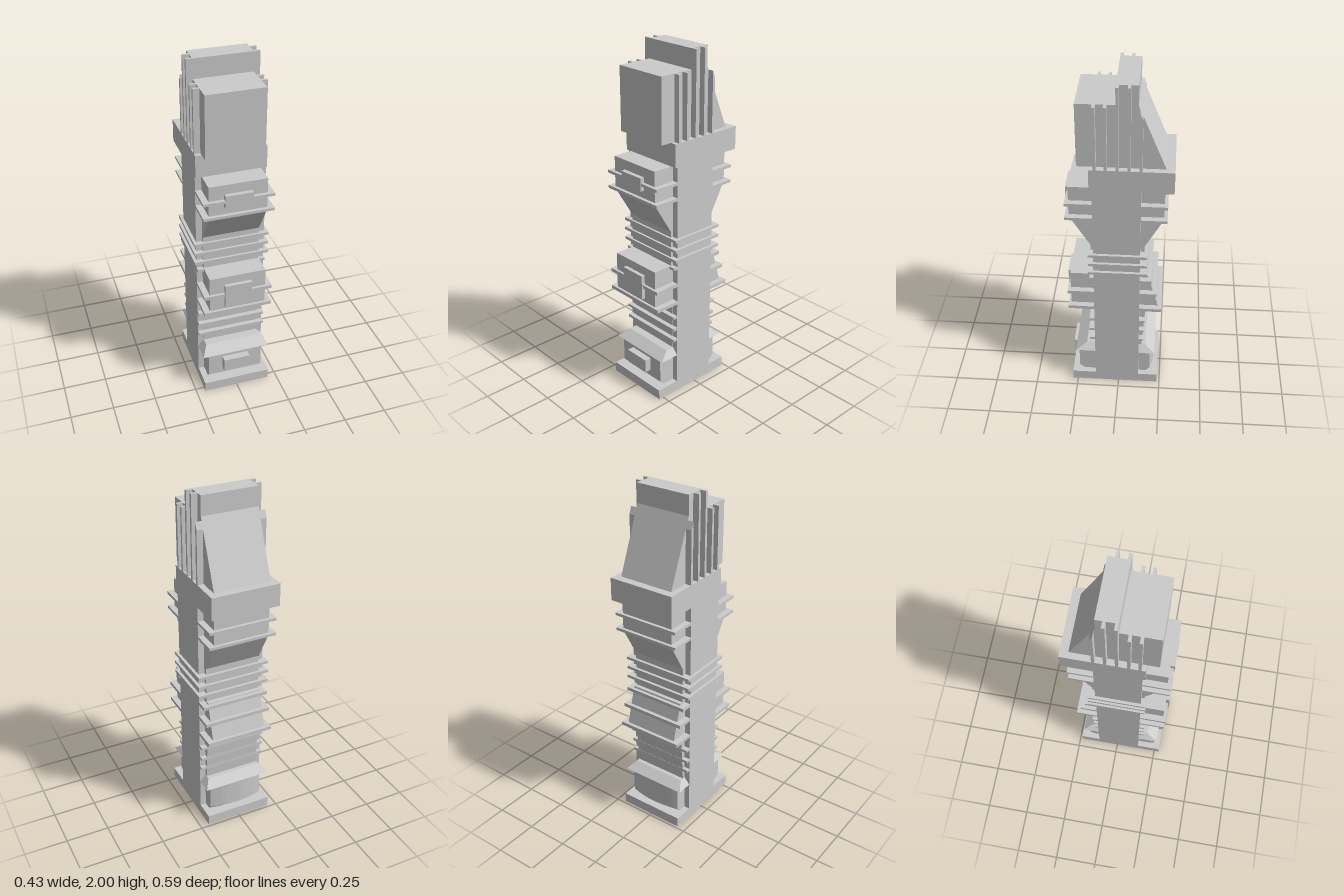
import * as THREE from 'three';

const material = new THREE.MeshStandardMaterial({ color: 0xcccccc, flatShading: true });

export function createModel() {
  const tower = new THREE.Group();
  tower.name = 'tower';

  const add = (name, geometry) => {
    const mesh = new THREE.Mesh(geometry, material);
    mesh.name = name;
    tower.add(mesh);
    return mesh;
  };

  // Box given by half width and its y and z ranges
  const block = (name, w, y0, y1, z0, z1, x = 0) => {
    const g = new THREE.BoxGeometry(2 * w, y1 - y0, z1 - z0);
    g.translate(x, (y0 + y1) / 2, (z0 + z1) / 2);
    return add(name, g);
  };

  // Side profile of [z, y] points extruded across the width
  const slab = (name, w, points) => {
    const shape = new THREE.Shape(points.map(([z, y]) => new THREE.Vector2(z, y)));
    const g = new THREE.ExtrudeGeometry(shape, { depth: 2 * w, bevelEnabled: false });
    g.translate(0, 0, -w);
    g.rotateY(-Math.PI / 2);
    return add(name, g);
  };

  // Solid through stacked plan outlines: { y, ring: [[x, z], ...] }
  const loft = (name, levels) => {
    const n = levels[0].ring.length;
    const top = (levels.length - 1) * n;
    const position = levels.flatMap(({ y, ring }) => ring.flatMap(([x, z]) => [x, y, z]));
    const index = [];
    for (let k = 0; k < top; k += n) {
      for (let i = 0; i < n; i++) {
        const a = k + i, b = k + (i + 1) % n;
        index.push(a, b, b + n, a, b + n, a + n);
      }
    }
    for (let i = 1; i < n - 1; i++) {
      index.push(0, i + 1, i, top, top + i, top + i + 1);
    }
    const g = new THREE.BufferGeometry();
    g.setAttribute('position', new THREE.Float32BufferAttribute(position, 3));
    g.setIndex(index);
    const flat = g.toNonIndexed();
    flat.computeVertexNormals();
    return add(name, flat);
  };
  const rect = (w, z0, z1) => [[w, z1], [w, z0], [-w, z0], [-w, z1]];
  const bow = (w, edge, bulge) => {
    const ring = [[w, -0.1]];
    for (let i = 0; i <= 10; i++) {
      const t = 1 - i / 5;
      ring.push([w * t, edge - bulge * (1 - t * t)]);
    }
    return [...ring, [-w, -0.1]];
  };

  const W = 0.198; // pillar half width
  const B = 0.163; // bay half width

  // Base and main pillar
  block('base', W, 0, 0.06, -0.235, 0.28);
  block('pillar', W, 0.06, 1.4, -0.12, 0.14);
  slab('lowerBackPanel', B, [[-0.1, 0.26], [-0.1, 0.57], [-0.155, 0.57], [-0.135, 0.26]]);
  block('lowerFrontPanel', B, 0.26, 0.57, 0.1, 0.143);
  block('middlePanel', B, 0.8, 1.03, -0.143, 0.155);

  // Ground floor bays with their sloped roofs
  loft('entranceBay', [
    { y: 0.06, ring: rect(B, 0.1, 0.21) },
    { y: 0.085, ring: rect(B, 0.1, 0.24) },
    { y: 0.24, ring: rect(B, 0.1, 0.24) },
  ]);
  block('entrancePlate', 0.078, 0.125, 0.207, 0.23, 0.28);
  loft('bowedBackBay', [
    { y: 0.06, ring: bow(B, -0.165, 0.02) },
    { y: 0.085, ring: bow(B, -0.188, 0.025) },
    { y: 0.24, ring: bow(B, -0.188, 0.025) },
  ]);
  loft('frontRoof', [
    { y: 0.24, ring: rect(W, 0.13, 0.257) },
    { y: 0.28, ring: rect(B, 0.13, 0.192) },
  ]);
  loft('backRoof', [
    { y: 0.24, ring: rect(W, -0.215, -0.11) },
    { y: 0.28, ring: rect(B, -0.16, -0.11) },
  ]);

  // Thin bands of the lower floors
  for (const y of [0.347, 0.418, 0.495]) {
    block('lowerBand', W, y - 0.008, y + 0.008, -0.12 - 0.065 * y, 0.17).position.z = 0;
  }

  // Middle bays and ledges
  block('middleFrontBay', B, 0.567, 0.815, 0.1, 0.275);
  slab('middleBackBay', B, [[-0.1, 0.567], [-0.1, 0.815], [-0.165, 0.815], [-0.235, 0.567]]);
  for (const [y, back] of [[0.588, -0.246], [0.7, -0.216], [0.795, -0.187]]) {
    block('middleBackLedge', W, y - 0.01, y + 0.01, back, -0.11);
  }
  for (const y of [0.588, 0.7]) block('middleFrontLedge', W, y - 0.01, y + 0.01, 0.13, 0.29);
  block('middleTopLedge', W, 0.798, 0.814, 0.13, 0.165);
  block('middlePlate', 0.078, 0.62, 0.765, 0.26, 0.297);

  // Bands running all the way round
  for (const y of [0.86, 0.92, 0.98]) {
    block('ringBand', 0.215, y - 0.008, y + 0.008, -0.16, 0.168);
  }

  // Upper bays, corbelled out at the bottom
  slab('upperFrontBay', B, [[0.1, 1.02], [0.155, 1.02], [0.27, 1.21], [0.27, 1.4], [0.1, 1.4]]);
  slab('upperBackBay', B, [[-0.1, 1.02], [-0.1, 1.4], [-0.245, 1.4], [-0.245, 1.21], [-0.14, 1.02]]);
  for (const y of [1.217, 1.307]) {
    block('upperFrontLedge', W, y - 0.008, y + 0.008, 0.13, 0.29);
    block('upperBackLedge', W, y - 0.008, y + 0.008, -0.263, -0.11);
  }
  block('upperPlate', 0.078, 1.27, 1.345, 0.26, 0.295);

  // Cornice and stepped crown with a sloped back
  block('cornice', W, 1.4, 1.53, -0.293, 0.155);
  slab('crown', B, [
    [0.22, 1.53], [0.22, 1.89], [0.013, 1.89], [0.013, 2],
    [-0.1, 2], [-0.1, 1.89], [-0.247, 1.53],
  ]);

  // Vertical fins on both sides of the crown
  const fins = [[0.124, 1.89], [0.067, 1.89], [0.005, 2], [-0.055, 2]];
  for (const side of [-1, 1]) {
    const x = side * (B + W) / 2;
    for (const [z, top] of fins) {
      block('crownFin', (W - B) / 2, 1.53, top, z - 0.008, z + 0.008, x);
    }
    slab('rearCrownFin', (W - B) / 2, [
      [-0.108, 1.53], [-0.108, 1.87], [-0.124, 1.83], [-0.124, 1.53],
    ]).position.x = x;
  }

  return tower;
}
